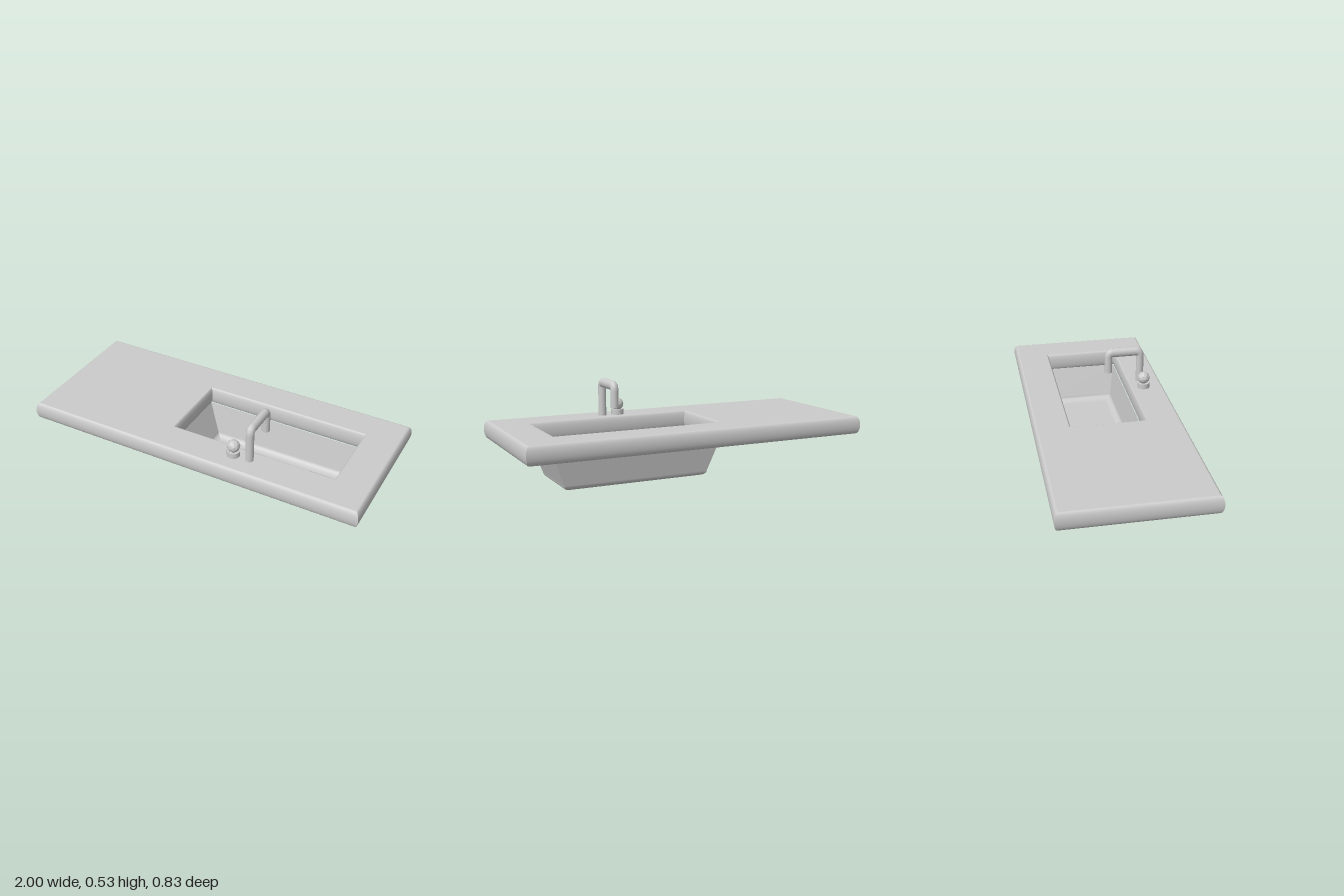
import * as THREE from 'three';

const TOP = 0.309, LOW = 0.207, MID = (TOP + LOW) / 2, HALF = (TOP - LOW) / 2;
const BASIN_X = 0.309; // centre of the basin opening

const material = new THREE.MeshStandardMaterial({ color: 0xcccccc, side: THREE.DoubleSide });
const flatMaterial = new THREE.MeshStandardMaterial({ color: 0xcccccc, flatShading: true });

function add(parent, name, geometry, x = 0, y = 0, z = 0, mat = material) {
  const mesh = new THREE.Mesh(geometry, mat);
  mesh.name = name;
  mesh.position.set(x, y, z);
  parent.add(mesh);
  return mesh;
}

// Four mitred strips through rectangular loops [halfX, halfZ, y], listed from top
// to bottom; smooth along the profile, sharp at the four corners
function rectLoft(loops) {
  const corners = [[-1, 1], [1, 1], [1, -1], [-1, -1]];
  const positions = [], index = [];
  corners.forEach((a, side) => {
    const b = corners[(side + 1) % 4];
    const start = positions.length / 3;
    loops.forEach(([hx, hz, y], i) => {
      positions.push(a[0] * hx, y, a[1] * hz, b[0] * hx, y, b[1] * hz);
      if (i === 0) return;
      const n = start + 2 * i;
      index.push(n - 2, n, n + 1, n - 2, n + 1, n - 1);
    });
  });
  const geometry = new THREE.BufferGeometry();
  geometry.setAttribute('position', new THREE.Float32BufferAttribute(positions, 3));
  geometry.setIndex(index);
  geometry.computeVertexNormals();
  return geometry;
}

// Half-round edge profile; the sign of bulge decides outward or inward
function edgeLoops(hx, hz, bulge, steps = 12) {
  return Array.from({ length: steps + 1 }, (_, i) => {
    const t = (i / steps) * Math.PI;
    const out = bulge * Math.sin(t);
    return [hx + out, hz + out, MID + HALF * Math.cos(t)];
  });
}

// Flat rectangle with a rectangular hole
function holedSheet(hx, hz, holeX, holeZ, up) {
  const shape = new THREE.Shape([[-hx, -hz], [hx, -hz], [hx, hz], [-hx, hz]].map(p => new THREE.Vector2(...p)));
  const l = BASIN_X - holeX, r = BASIN_X + holeX;
  shape.holes.push(new THREE.Path([[l, -holeZ], [l, holeZ], [r, holeZ], [r, -holeZ]].map(p => new THREE.Vector2(...p))));
  return new THREE.ShapeGeometry(shape).rotateX(up ? -Math.PI / 2 : Math.PI / 2);
}

export function createModel() {
  const model = new THREE.Group();
  model.name = 'sinkCounter';

  // Countertop slab with rounded outer edge and rounded rim round the opening
  const counter = new THREE.Group();
  counter.name = 'countertop';
  model.add(counter);
  add(counter, 'counterTop', holedSheet(0.98, 0.396, 0.49, 0.222, true), 0, TOP);
  add(counter, 'counterUnderside', holedSheet(0.98, 0.396, 0.49, 0.222, false), 0, LOW);
  add(counter, 'counterEdge', rectLoft(edgeLoops(0.98, 0.396, 0.02)));
  add(counter, 'openingRim', rectLoft(edgeLoops(0.49, 0.222, -0.014)), BASIN_X);

  // Thin basin: tapered walls, rounded foot and flat floor
  const basin = new THREE.Group();
  basin.name = 'basin';
  basin.position.x = BASIN_X;
  model.add(basin);
  add(basin, 'basinWalls', rectLoft([[0.489, 0.213, LOW], [0.423, 0.183, 0.03]]));
  const foot = Array.from({ length: 7 }, (_, i) => {
    const t = (i / 6) * Math.PI / 2;
    const inset = 0.04 * (1 - Math.cos(t));
    return [0.423 - inset * 1.1, 0.183 - inset, 0.03 * (1 - Math.sin(t))];
  });
  add(basin, 'basinFoot', rectLoft(foot));
  add(basin, 'basinFloor', new THREE.PlaneGeometry(0.758, 0.286).rotateX(Math.PI / 2));

  // Faucet: bent tube, stretched a little in height
  const faucet = new THREE.Group();
  faucet.name = 'faucet';
  faucet.position.set(0.33, 0, 0);
  faucet.scale.y = 1.2;
  model.add(faucet);
  const s = 1 / 1.2, r = 0.023, bend = 0.026;
  const back = 0.286, front = 0.094, high = 0.504 * s, tip = 0.38 * s;
  const v = (y, z) => new THREE.Vector3(0, y, z);
  const path = new THREE.CurvePath();
  path.add(new THREE.LineCurve3(v(TOP * s, back), v(high - bend, back)));
  path.add(new THREE.QuadraticBezierCurve3(v(high - bend, back), v(high, back), v(high, back - bend)));
  path.add(new THREE.LineCurve3(v(high, back - bend), v(high, front + bend)));
  path.add(new THREE.QuadraticBezierCurve3(v(high, front + bend), v(high, front), v(high - bend, front)));
  path.add(new THREE.LineCurve3(v(high - bend, front), v(tip, front)));
  add(faucet, 'faucetTube', new THREE.TubeGeometry(path, 80, r, 14));
  add(faucet, 'spoutEnd', new THREE.CircleGeometry(r, 14).rotateX(Math.PI / 2), 0, tip, front);

  // Knob: short round base with a faceted ball
  const knob = new THREE.Group();
  knob.name = 'knob';
  knob.position.set(0.235, 0, 0.29);
  model.add(knob);
  add(knob, 'knobBase', new THREE.CylinderGeometry(0.036, 0.036, 0.032, 16), 0, TOP + 0.015, 0);
  add(knob, 'knobBall', new THREE.IcosahedronGeometry(0.037, 1), 0, 0.37, 0, flatMaterial);

  return model;
}
